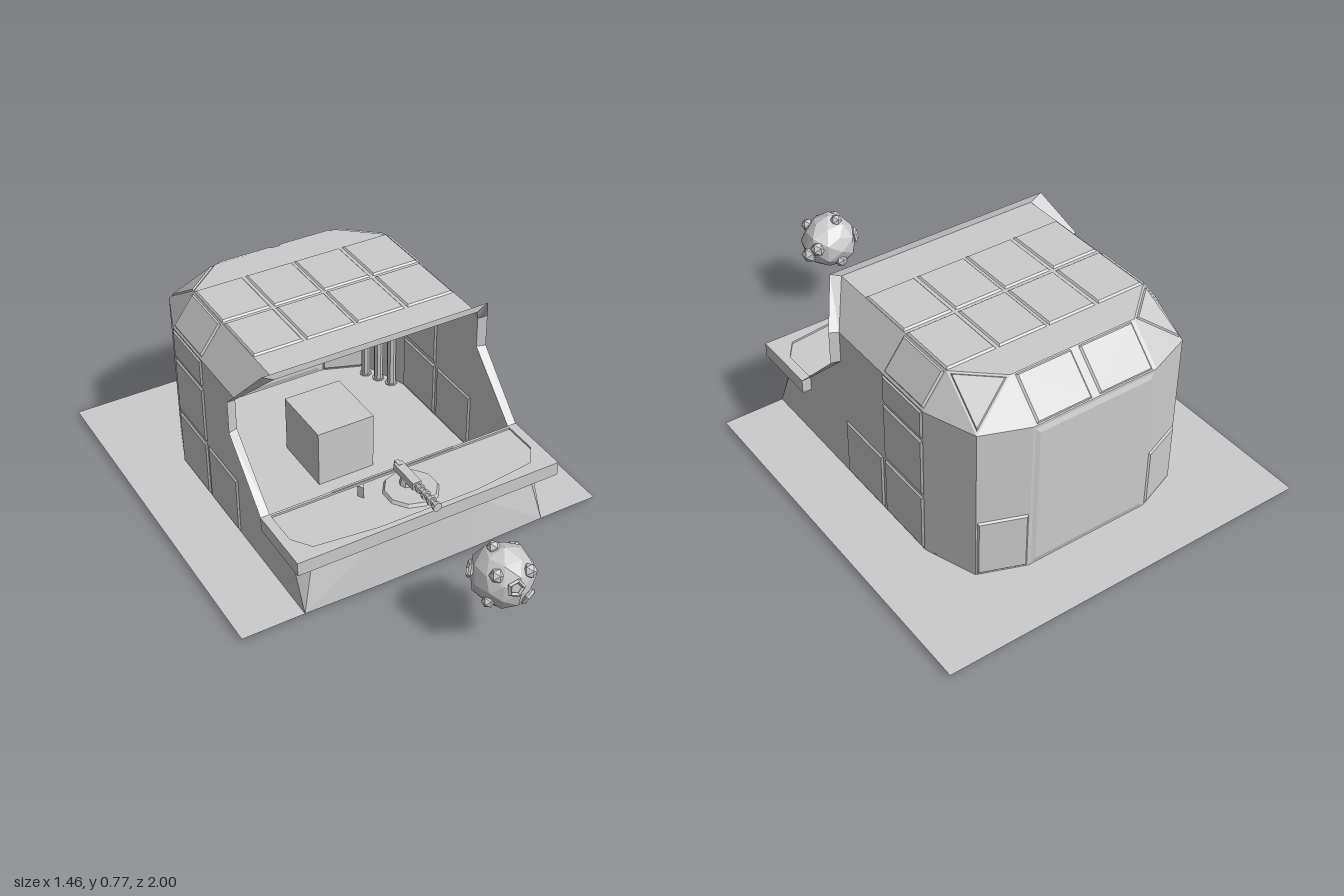
import * as THREE from 'three';
import { ConvexGeometry } from 'three/addons/geometries/ConvexGeometry.js';

const mat = new THREE.MeshStandardMaterial({ color: 0xcccccc, flatShading: true, side: THREE.DoubleSide });

export function createModel() {
  const root = new THREE.Group();
  const add = (name, geo, x = 0, y = 0, z = 0, parent = root) => {
    const m = new THREE.Mesh(geo, mat);
    m.name = name;
    m.position.set(x, y, z);
    parent.add(m);
    return m;
  };
  const box = (name, x, y, z, w, h, d, parent) => add(name, new THREE.BoxGeometry(w, h, d), x, y, z, parent);
  const mirror = (pts, s) => pts.map(([x, y, z]) => [x * s, y, z]);

  // Flat convex polygon drawn as a triangle fan
  const facet = (name, pts) => {
    const pos = [];
    for (let i = 1; i < pts.length - 1; i++) pos.push(...pts[0], ...pts[i], ...pts[i + 1]);
    const g = new THREE.BufferGeometry();
    g.setAttribute('position', new THREE.Float32BufferAttribute(pos, 3));
    g.computeVertexNormals();
    return add(name, g);
  };
  // Thin bevelled plate lying on a planar polygon, showing on both sides
  const panel = (name, pts, shrink = 1, t = 0.006) => {
    const v = pts.map(p => new THREE.Vector3(...p));
    const c = v.reduce((a, p) => a.add(p), new THREE.Vector3()).divideScalar(v.length);
    v.forEach(p => p.sub(c).multiplyScalar(shrink).add(c));
    const n = v[1].clone().sub(v[0]).cross(v[2].clone().sub(v[0])).normalize();
    const out = [...v];
    for (const s of [-t, t]) {
      v.forEach(p => out.push(p.clone().lerp(c, 0.06).addScaledVector(n, s)));
    }
    return add(name, new ConvexGeometry(out));
  };

  // Ground sheet with a notch below the counter
  const groundShape = new THREE.Shape([
    [-0.73, 1], [0.73, 1], [0.73, -0.455], [0.48, -0.455], [0.48, -0.22],
    [-0.48, -0.22], [-0.48, -0.455], [-0.73, -0.455],
  ].map(p => new THREE.Vector2(...p)));
  add('ground', new THREE.ShapeGeometry(groundShape).rotateX(-Math.PI / 2), 0, 0.015, 0);

  // Shell levels: floor, eaves, roof
  const F = 0.015, E = 0.622, R = 0.747;
  const W = 0.49;
  facet('roof', [
    [-0.4, R, 0.11], [0.4, R, 0.11], [0.4, R, -0.51], [0.25, R, -0.64], [-0.25, R, -0.64], [-0.4, R, -0.51],
  ]);
  facet('rearWall', [[0.25, F, -0.765], [-0.25, F, -0.765], [-0.25, E, -0.765], [0.25, E, -0.765]]);
  facet('rearRoofSlope', [[0.25, E, -0.765], [-0.25, E, -0.765], [-0.25, R, -0.64], [0.25, R, -0.64]]);
  panel('rearDoor', [[0.24, 0.02, -0.765], [-0.24, 0.02, -0.765], [-0.24, 0.61, -0.765], [0.24, 0.61, -0.765]]);

  for (const s of [1, -1]) {
    const f = (name, pts) => facet(name, mirror(pts, s));
    const p = (name, pts, k) => panel(name, mirror(pts, s), k);
    // Side wall, rear corners and sloping roof edges
    f('sideWall', [[W, F, -0.01], [W, F, -0.51], [W, E, -0.51], [W, E, -0.01]]);
    f('sideWallFront', [[W, F, 0.215], [W, F, -0.01], [W, 0.5, -0.01], [W, 0.28, 0.215]]);
    f('rearSideWall', [[W, F, -0.51], [0.42, F, -0.7], [0.42, E, -0.7], [W, E, -0.51]]);
    f('rearCornerWall', [[0.42, F, -0.7], [0.25, F, -0.765], [0.25, E, -0.765], [0.42, E, -0.7]]);
    f('sideRoofSlope', [[W, E, -0.01], [W, E, -0.51], [0.4, R, -0.51], [0.4, R, 0.11]]);
    const cornerTri = [[0.42, E, -0.7], [0.25, R, -0.64], [0.4, R, -0.51]];
    f('cornerRoofSide', [[W, E, -0.51], [0.42, E, -0.7], [0.4, R, -0.51]]);
    f('cornerRoof', cornerTri);
    f('cornerRoofRear', [[0.42, E, -0.7], [0.25, E, -0.765], [0.25, R, -0.64]]);

    // Raised plates
    for (const [z0, z1, y0, y1] of [
      [-0.03, -0.262, 0.02, 0.25], [-0.275, -0.505, 0.02, 0.25],
      [-0.275, -0.505, 0.265, 0.495], [-0.275, -0.505, 0.51, 0.617],
    ]) p('sidePanel', [[W, y0, z0], [W, y0, z1], [W, y1, z1], [W, y1, z0]]);
    p('slopePanel', [[0.485, E + 0.01, -0.28], [0.485, E + 0.01, -0.505], [0.405, R - 0.005, -0.505], [0.405, R - 0.005, -0.28]]);
    p('cornerRoofPanel', cornerTri, 0.88);
    p('rearCornerPanel', [[0.415, 0.02, -0.702], [0.255, 0.02, -0.763], [0.255, 0.25, -0.763], [0.415, 0.25, -0.702]]);
    p('rearSlopePanel', [[0.01, E, -0.765], [0.24, E, -0.765], [0.24, R, -0.64], [0.01, R, -0.64]], 0.95);
    for (const x of [0.005, 0.208]) {
      for (const z of [-0.04, -0.28]) {
        p('roofPanel', [[x, R, z], [x + 0.19, R, z], [x + 0.19, R, z - 0.228], [x, R, z - 0.228]]);
      }
    }

    // Lower front skirt: corners fold from square at the floor to cut at the counter
    f('skirtSide', [[W, F, 0.215], [W, F, 0.455], [W, 0.225, 0.36], [W, 0.225, 0.215]]);
    f('skirtCorner', [[W, F, 0.455], [0.44, 0.225, 0.425], [W, 0.225, 0.36]]);
    f('skirtFront', [[W, F, 0.455], [0.2, F, 0.462], [0.2, 0.225, 0.447], [0.44, 0.225, 0.425]]);

    // Rim around the front opening
    const inner = [[W, 0.28, 0.215], [W, 0.5, -0.01], [W, E, -0.01], [0.4, R, 0.11], [0, R, 0.11]];
    const outer = [[0.525, 0.28, 0.215], [0.525, 0.5, 0], [0.525, 0.63, 0], [0.445, 0.772, 0.11], [0, 0.772, 0.11]];
    for (let i = 0; i < 4; i++) f('openingRim', [inner[i], outer[i], outer[i + 1], inner[i + 1]]);

    // Row of upright tubes in the rear corner, with feet through the floor
    for (let i = 0; i < 3; i++) {
      const x = s * (0.453 - i * 0.028), z = -0.545 - i * 0.055;
      add('uprightTube', new THREE.CylinderGeometry(0.018, 0.018, 0.6, 8), x, 0.31, z);
      add('tubeFoot', new THREE.CylinderGeometry(0.025, 0.025, 0.02, 8), x, 0.01, z);
    }
    // Rack on the rear wall
    const rack = new THREE.Group();
    rack.name = 'rearRack';
    root.add(rack);
    box('rackPost', s * 0.27, 0.4, -0.69, 0.05, 0.25, 0.03, rack);
    box('rackRail', s * 0.32, 0.32, -0.67, 0.15, 0.025, 0.03, rack);
    box('rackHandle', s * 0.388, 0.49, -0.67, 0.024, 0.15, 0.025, rack);
    for (const y of [0.43, 0.55]) box('handleMount', s * 0.395, y, -0.68, 0.035, 0.015, 0.03, rack);
  }
  facet('skirtCentre', [[-0.2, F, 0.462], [0.2, F, 0.462], [0.2, 0.225, 0.447], [-0.2, 0.225, 0.447]]);

  // Counter: rectangular edge around a slightly sunken cut-corner top
  const rect = new THREE.Shape([[-0.525, -0.48], [0.525, -0.48], [0.525, -0.215], [-0.525, -0.215]]
    .map(p => new THREE.Vector2(...p)));
  const cut = [[-0.49, -0.225], [-0.49, -0.36], [-0.44, -0.43], [-0.2, -0.458],
    [0.2, -0.458], [0.44, -0.43], [0.49, -0.36], [0.49, -0.225]].map(p => new THREE.Vector2(...p));
  rect.holes.push(new THREE.Path(cut));
  add('counterEdge', new THREE.ExtrudeGeometry(rect, { depth: 0.055, bevelEnabled: false }).rotateX(-Math.PI / 2), 0, 0.225, 0);
  add('counterTop', new THREE.ShapeGeometry(new THREE.Shape(cut)).rotateX(-Math.PI / 2), 0, 0.272, 0);
  box('counterLip', 0, 0.276, 0.218, 0.5, 0.012, 0.008);
  add('counterKnob', new THREE.CylinderGeometry(0.016, 0.016, 0.045, 3), -0.165, 0.295, 0.28);

  // Crate inside
  box('crate', 0, 0.132, -0.25, 0.235, 0.235, 0.26);

  // Swivelling device on the counter
  const device = new THREE.Group();
  device.name = 'counterDevice';
  root.add(device);
  add('deviceBase', new THREE.CylinderGeometry(0.095, 0.102, 0.012, 10), 0, 0.278, 0.335, device);
  add('devicePivot', new THREE.CylinderGeometry(0.022, 0.03, 0.03, 8), 0, 0.295, 0.31, device);
  box('deviceBody', 0, 0.317, 0.31, 0.034, 0.03, 0.13, device);
  box('deviceGrip', 0, 0.317, 0.25, 0.016, 0.034, 0.03, device);
  const barrel = new THREE.CylinderGeometry(0.01, 0.012, 0.14, 8).rotateX(Math.PI / 2);
  add('deviceBarrel', barrel, 0, 0.317, 0.435, device);
  for (let i = 0; i < 4; i++) {
    add('barrelRing', new THREE.CylinderGeometry(0.018, 0.018, 0.014, 8).rotateX(Math.PI / 2), 0, 0.317, 0.395 + i * 0.035, device);
  }

  // Floating rock with facets, dents and lumps
  const rock = new THREE.Group();
  rock.name = 'floatingRock';
  rock.position.set(0.005, 0.315, 0.885);
  root.add(rock);
  const ball = new THREE.IcosahedronGeometry(0.108, 1);
  const pos = ball.attributes.position, v = new THREE.Vector3();
  for (let i = 0; i < pos.count; i++) {
    v.fromBufferAttribute(pos, i);
    v.multiplyScalar(1 + 0.06 * Math.sin(v.x * 61 + v.y * 37) * Math.cos(v.z * 53 + v.y * 29));
    pos.setXYZ(i, v.x, v.y, v.z);
  }
  ball.computeVertexNormals();
  add('rockBody', ball, 0, 0, 0, rock);
  for (const [x, y, z, r] of [
    [0.1, -0.02, -0.02, 0.034], [0.085, 0.02, -0.06, 0.03], [0.03, -0.098, 0.03, 0.02], [-0.08, -0.05, 0.04, 0.022],
    [-0.02, 0.1, -0.03, 0.024], [-0.06, 0.06, 0.05, 0.026], [0.05, 0.05, 0.075, 0.026], [0, -0.05, -0.09, 0.025],
  ]) add('rockLump', new THREE.IcosahedronGeometry(r, 0), x, y, z, rock);
  for (const [x, y, z] of [[-0.02, 0.03, 0.104], [0.04, -0.04, 0.094], [-0.09, 0.02, -0.055]]) {
    const rim = add('rockCrater', new THREE.TorusGeometry(0.026, 0.008, 4, 5), x, y, z, rock);
    rim.lookAt(rim.position.clone().multiplyScalar(2).add(rock.position));
  }
  return root;
}
